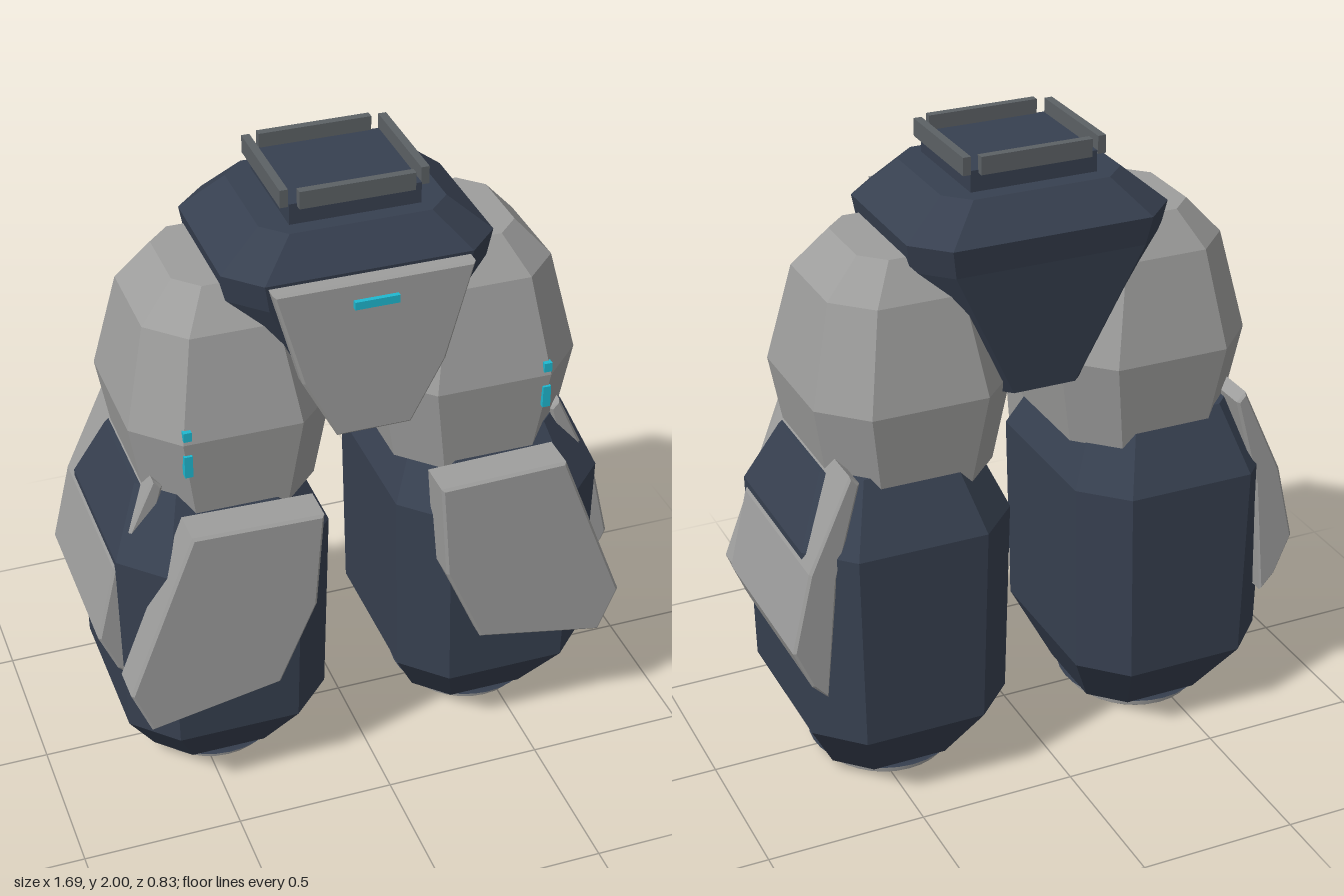
import * as THREE from 'three';

function material(name, color, opts = {}) {
  const m = new THREE.MeshStandardMaterial({ color, ...opts });
  m.name = name;
  return m;
}

// Stacked chamfered-rectangle sections [y, x0, x1, z0, z1, chamfer], bottom to top.
function loft(sections) {
  const rings = sections.map(([y, x0, x1, z0, z1, c]) => [
    [x0 + c, y, z1], [x1 - c, y, z1], [x1, y, z1 - c], [x1, y, z0 + c],
    [x1 - c, y, z0], [x0 + c, y, z0], [x0, y, z0 + c], [x0, y, z1 - c],
  ]);
  const pos = [];
  const tri = (a, b, c) => pos.push(...a, ...b, ...c);
  for (let r = 0; r < rings.length - 1; r++) {
    for (let i = 0; i < 8; i++) {
      const j = (i + 1) % 8;
      tri(rings[r][i], rings[r][j], rings[r + 1][j]);
      tri(rings[r][i], rings[r + 1][j], rings[r + 1][i]);
    }
  }
  const top = rings[rings.length - 1];
  for (let i = 1; i < 7; i++) {
    tri(top[0], top[i], top[i + 1]);
    tri(rings[0][0], rings[0][i + 1], rings[0][i]);
  }
  const g = new THREE.BufferGeometry();
  g.setAttribute('position', new THREE.Float32BufferAttribute(pos, 3));
  g.computeVertexNormals();
  return g;
}

// Outline in the front plane, extruded from z0 to z1 with a fine bevel.
function plate(points, z0, z1) {
  const b = 0.008;
  const g = new THREE.ExtrudeGeometry(new THREE.Shape(points.map(([x, y]) => new THREE.Vector2(x, y))), {
    depth: z1 - z0 - 2 * b, bevelEnabled: true, bevelThickness: b, bevelSize: b, bevelOffset: -b, bevelSegments: 1,
  });
  return g.translate(0, 0, z0 + b);
}

function box(x0, x1, y0, y1, z0, z1) {
  return new THREE.BoxGeometry(x1 - x0, y1 - y0, z1 - z0)
    .translate((x0 + x1) / 2, (y0 + y1) / 2, (z0 + z1) / 2);
}

export function createModel() {
  const navy = material('navy', 0x374050);
  const grey = material('armourGrey', 0x9e9e9d);
  const dark = material('darkGrey', 0x5c6165);
  const cyan = material('cyan', 0x1fb8d0);
  const inside = navy.clone();
  inside.side = THREE.DoubleSide;

  const model = new THREE.Group();
  model.name = 'mechLegs';
  const add = (parent, name, geometry, mat) => {
    const mesh = new THREE.Mesh(geometry, mat);
    mesh.name = name;
    parent.add(mesh);
    return mesh;
  };

  // Pelvis and waist socket
  add(model, 'pelvis', loft([
    [1.27, -0.15, 0.15, -0.29, 0.22, 0.05],
    [1.69, -0.4, 0.4, -0.335, 0.27, 0.1],
    [1.78, -0.415, 0.415, -0.35, 0.28, 0.1],
    [1.89, -0.285, 0.285, -0.265, 0.2, 0.07],
  ]), navy);
  add(model, 'waist', box(-0.2, 0.2, 1.88, 1.955, -0.21, 0.15), navy);
  for (const s of [-1, 1]) {
    add(model, 'socketSideBar', box(s * 0.2125 - 0.0125, s * 0.2125 + 0.0125, 1.945, 2, -0.215, 0.145), dark);
    const z = -0.03 + s * 0.1875;
    add(model, 'socketEndBar', box(-0.175, 0.175, 1.945, 2, z - 0.0125, z + 0.0125), dark);
  }

  // Front plate with its light
  add(model, 'frontPlate', plate([
    [-0.305, 1.77], [-0.22, 1.46], [-0.115, 1.26], [0.115, 1.26], [0.22, 1.46], [0.305, 1.77],
  ], 0.27, 0.325), grey);
  add(model, 'frontLight', box(-0.068, 0.068, 1.69, 1.715, 0.32, 0.34), cyan);

  for (const s of [1, -1]) {
    const leg = new THREE.Group();
    leg.name = s > 0 ? 'leftLeg' : 'rightLeg';
    model.add(leg);
    const mx = (pts) => pts.map(([x, y]) => [s * x, y]);
    const legLoft = (sections) => loft(sections.map(([y, a, b, ...rest]) =>
      s > 0 ? [y, a, b, ...rest] : [y, -b, -a, ...rest]));

    // Thigh armour
    add(leg, 'thigh', legLoft([
      [1.02, 0.13, 0.655, -0.32, 0.265, 0.12],
      [1.31, 0.08, 0.705, -0.36, 0.295, 0.13],
      [1.62, 0.15, 0.635, -0.295, 0.225, 0.11],
      [1.735, 0.24, 0.53, -0.225, 0.14, 0.07],
    ]), grey);
    for (const [y0, y1] of [[1.2, 1.272], [1.325, 1.355]]) {
      const x = s * 0.562;
      add(leg, 'thighLight', box(x - 0.0125, x + 0.0125, y0, y1, 0.275, 0.3), cyan);
    }

    // Lower leg, open underneath
    const shin = legLoft([
      [0.04, 0.225, 0.665, -0.26, 0.2, 0.1],
      [0.25, 0.125, 0.77, -0.41, 0.35, 0.13],
      [0.89, 0.11, 0.78, -0.415, 0.355, 0.13],
      [1.1, 0.2, 0.688, -0.31, 0.235, 0.1],
    ]);
    // Drop the bottom cap so the foot opening stays hollow
    const p = Array.from(shin.attributes.position.array);
    const open = [];
    for (let i = 0; i < p.length; i += 9) {
      if (p[i + 1] + p[i + 4] + p[i + 7] > 0.13) open.push(...p.slice(i, i + 9));
    }
    shin.setAttribute('position', new THREE.Float32BufferAttribute(open, 3));
    shin.computeVertexNormals();
    add(leg, 'shin', shin, navy);

    // Foot ring and the hollow above it
    const v = (x, y) => new THREE.Vector2(x, y);
    const ring = add(leg, 'footRing', new THREE.LatheGeometry([
      v(0.165, 0.05), v(0.165, 0.01), v(0.175, 0), v(0.2, 0), v(0.21, 0.008), v(0.21, 0.05),
    ], 32), grey);
    const hollow = add(leg, 'footHollow', new THREE.LatheGeometry([
      v(0.235, 0.041), v(0.164, 0.041), v(0.164, 0.5), v(0, 0.5),
    ], 32), inside);
    for (const m of [ring, hollow]) {
      m.position.set(s * 0.445, 0, -0.03);
      m.scale.z = 1.09;
    }

    // Knee guard
    add(leg, 'kneePlate', plate(mx([
      [0.185, 1.05], [0.21, 0.725], [0.33, 0.45], [0.74, 0.37], [0.8, 0.52], [0.59, 1.06],
    ]), 0.285, 0.412), grey);

    // Outer calf guard, sinking into the shin towards its top
    add(leg, 'calfPlate', plate(mx([
      [0.845, 0.6], [0.785, 0.855], [0.65, 1.15], [0.62, 1.12], [0.7, 0.82], [0.74, 0.42], [0.79, 0.47],
    ]), -0.365, 0.21), grey);
  }
  return model;
}
